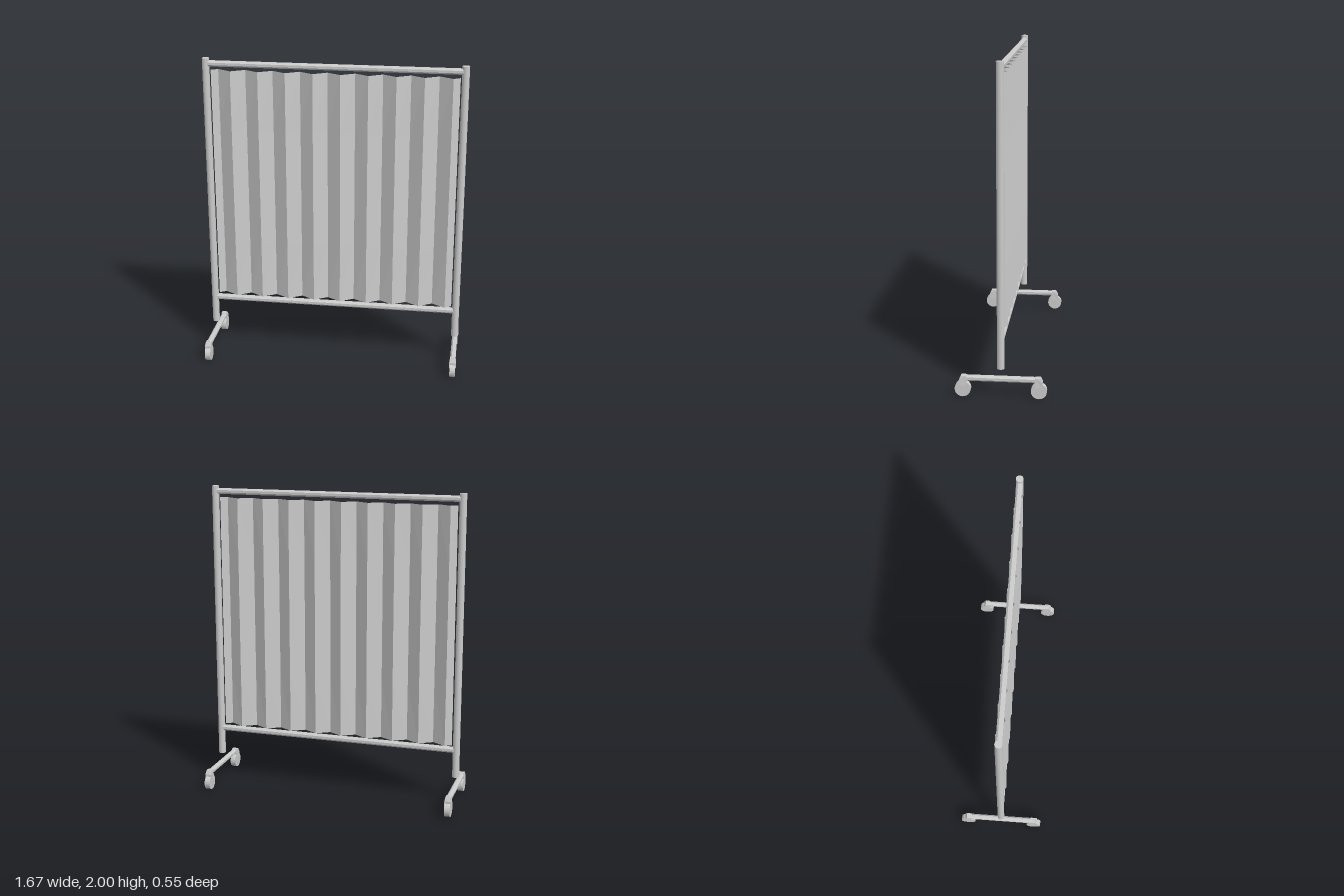
import * as THREE from 'three';

const metal = new THREE.MeshStandardMaterial({ color: 0xcccccc, flatShading: true });
const smooth = new THREE.MeshStandardMaterial({ color: 0xcccccc });
const cloth = new THREE.MeshStandardMaterial({ color: 0xcccccc, flatShading: true, side: THREE.DoubleSide });

function add(parent, name, geometry, material, x, y, z) {
  const mesh = new THREE.Mesh(geometry, material);
  mesh.name = name;
  mesh.position.set(x, y, z);
  parent.add(mesh);
  return mesh;
}

// Eight-sided bar with a flat on top, lying along x or z
function bar(radius, length, axis) {
  const g = new THREE.CylinderGeometry(radius, radius, length, 8).rotateY(Math.PI / 8);
  return axis === 'x' ? g.rotateZ(Math.PI / 2) : g.rotateX(Math.PI / 2);
}

// Pleated sheet: fold lines alternate back and front, the hems pull in slightly
function pleatedSheet(bottom, top) {
  const folds = [[-0.78, 0]];
  for (let i = 0; i < 18; i++) folds.push([-0.738 + i * 0.0868, i % 2 ? 0.028 : -0.028]);
  folds.push([0.78, 0]);
  const rows = 4;
  const g = new THREE.PlaneGeometry(1, top - bottom, folds.length - 1, rows);
  const p = g.attributes.position;
  for (let i = 0; i < p.count; i++) {
    const [x, z] = folds[i % folds.length];
    const row = Math.floor(i / folds.length);
    const pull = row === 0 || row === rows ? 0.92 : 1;
    p.setXYZ(i, x, p.getY(i) + (top + bottom) / 2, z * pull);
  }
  g.computeVertexNormals();
  return g;
}

// Caster centred on its wheel axle
function createCaster() {
  const caster = new THREE.Group();
  caster.name = 'caster';
  const wheel = new THREE.CylinderGeometry(0.048, 0.048, 0.036, 24).rotateZ(Math.PI / 2);
  add(caster, 'wheel', wheel, metal, 0, 0.048, 0);
  // Housing, narrowing towards the top
  const side = new THREE.Shape([
    [-0.022, 0.07], [0.022, 0.07], [0.022, 0.105], [0.01, 0.13], [-0.022, 0.13],
  ].map(([z, y]) => new THREE.Vector2(-z, y)));
  const housing = new THREE.ExtrudeGeometry(side, { depth: 0.044, bevelEnabled: false });
  housing.translate(0, 0, -0.022).rotateY(Math.PI / 2);
  const p = housing.attributes.position;
  for (let i = 0; i < p.count; i++) if (p.getY(i) > 0.12) p.setX(i, p.getX(i) * 0.8);
  add(caster, 'casterHousing', housing, metal, 0, 0, 0);
  return caster;
}

export function createModel() {
  const screen = new THREE.Group();
  screen.name = 'foldingPrivacyScreen';

  // Frame rails
  for (const [name, y] of [['topRail', 1.966], ['bottomRail', 0.361]]) {
    add(screen, name, bar(0.02, 1.6, 'x'), metal, 0, y, 0);
  }

  // Curtain
  add(screen, 'curtain', pleatedSheet(0.39, 1.925), cloth, 0, 0, 0);

  // Posts, feet and casters on both sides
  for (const side of [1, -1]) {
    const label = side > 0 ? 'left' : 'right';
    const x = side * 0.81;
    add(screen, label + 'Post', new THREE.CylinderGeometry(0.023, 0.023, 1.82, 16), smooth, x, 1.09, 0);
    const foot = new THREE.Group();
    foot.name = label + 'Foot';
    foot.position.x = x;
    add(foot, 'footBar', bar(0.019, 0.46, 'z'), metal, 0, 0.114, 0);
    for (const end of [1, -1]) {
      const caster = createCaster();
      caster.position.z = end * 0.228;
      if (end < 0) caster.rotation.y = Math.PI;
      foot.add(caster);
    }
    screen.add(foot);
  }
  return screen;
}
